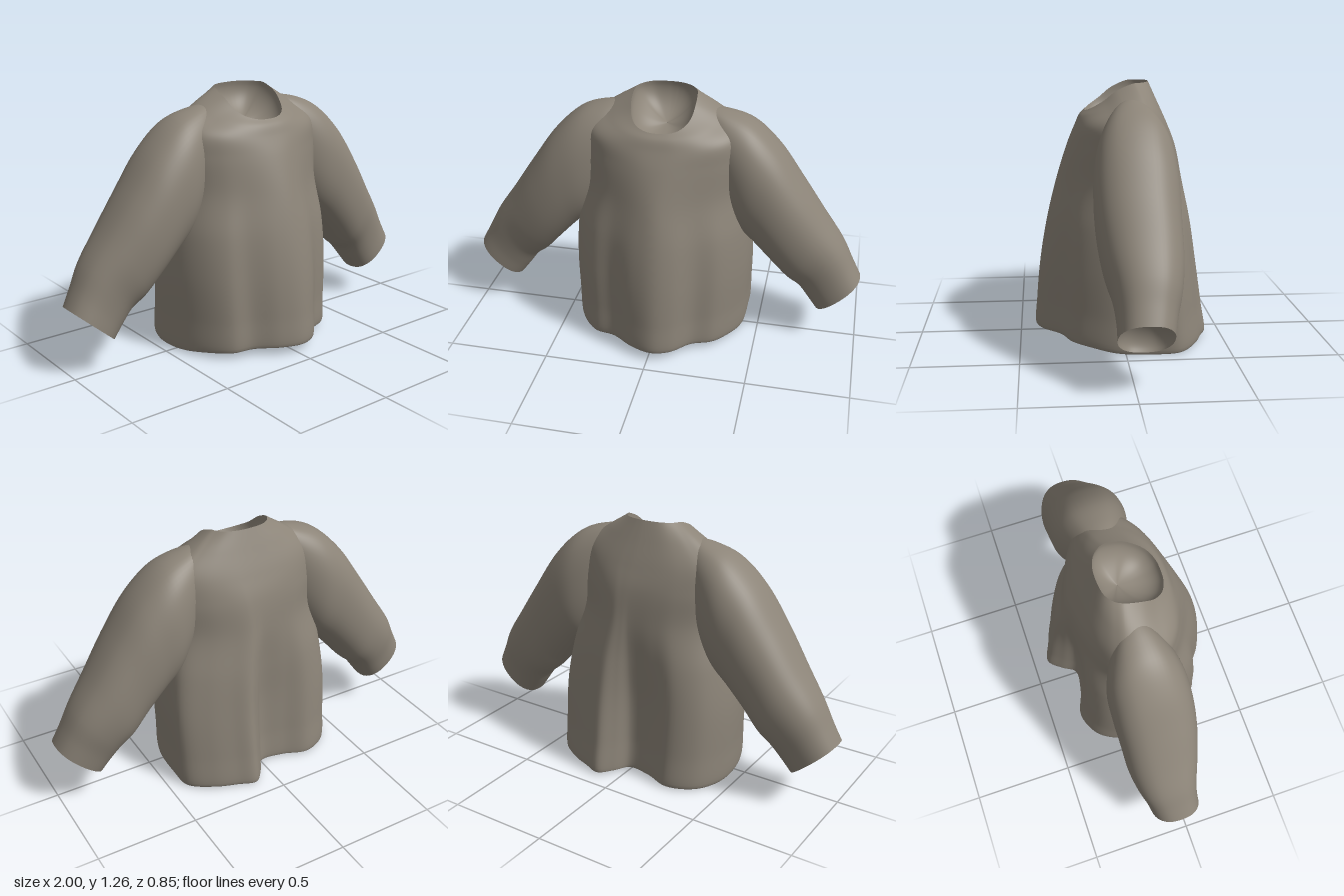
import * as THREE from 'three';

const V = (x, y, z) => new THREE.Vector3(x, y, z);
const spow = (v, e) => Math.sign(v) * Math.pow(Math.abs(v), e);
const lerp = THREE.MathUtils.lerp;

// Smooth surface through closed rings of points
function loft(rings, across, along) {
  const columns = rings[0].map((_, i) =>
    new THREE.CatmullRomCurve3(rings.map(r => r[i])));
  const pos = [], index = [];
  for (let j = 0; j <= along; j++) {
    const ring = new THREE.CatmullRomCurve3(columns.map(c => c.getPoint(j / along)), true);
    for (let i = 0; i < across; i++) pos.push(...ring.getPoint(i / across).toArray());
  }
  for (let j = 0; j < along; j++) {
    for (let i = 0; i < across; i++) {
      const a = j * across + i, b = j * across + (i + 1) % across;
      index.push(a, b, b + across, a, b + across, a + across);
    }
  }
  const geo = new THREE.BufferGeometry();
  geo.setAttribute('position', new THREE.Float32BufferAttribute(pos, 3));
  geo.setIndex(index);
  geo.computeVertexNormals();
  return geo;
}

// Hollow bowl that closes an opening; depth points into the garment
function bowl(rim, depth, across) {
  const centre = rim.reduce((s, p) => s.add(p), V(0, 0, 0)).divideScalar(rim.length);
  const rings = [];
  for (let j = 0; j <= 8; j++) {
    const t = j / 8 * 1.56;
    rings.push(rim.map(p => centre.clone().lerp(p, Math.cos(t))
      .addScaledVector(depth, Math.sin(t))));
  }
  return loft(rings, across, 20);
}

// Draped outline of the hem [x, z], from the front centre round by +x
const HEM = [
  [0.02, 0.42], [0.11, 0.39], [0.2, 0.3], [0.3, 0.25], [0.37, 0.16], [0.42, 0.04],
  [0.43, -0.14], [0.42, -0.26], [0.31, -0.345], [0.2, -0.39], [0.11, -0.42], [0.05, -0.36],
  [0, -0.29], [-0.12, -0.3], [-0.25, -0.34], [-0.38, -0.28], [-0.445, -0.14],
  [-0.44, 0.04], [-0.38, 0.19], [-0.3, 0.28], [-0.2, 0.31], [-0.09, 0.385],
];

// Body rings: half width, front z, back z, y at front / side / back,
// share of hem folds, roundness exponent, centre z
const BODY = [
  [0.41, 0.4, 0.4, 0.055, 0.012, 0.03, 1, 0.9, 0],
  [0.425, 0.42, 0.42, 0.05, 0.003, 0.02, 1, 0.9, 0],
  [0.435, 0.415, 0.4, 0.2, 0.18, 0.18, 0.97, 0.9, 0],
  [0.44, 0.395, 0.37, 0.4, 0.4, 0.4, 0.85, 0.95, 0],
  [0.43, 0.36, 0.345, 0.6, 0.6, 0.6, 0.6, 1.1, 0],
  [0.41, 0.31, 0.31, 0.8, 0.8, 0.8, 0.25, 1.25, -0.02],
  [0.41, 0.255, 0.275, 0.97, 0.98, 0.96, 0.1, 1.1, -0.03],
  [0.38, 0.218, 0.23, 1.055, 1.125, 1.07, 0.03, 0.95, -0.03],
  [0.27, 0.195, 0.18, 1.105, 1.2, 1.18, 0, 0.88, -0.03],
  [0.155, 0.17, 0.14, 1.13, 1.262, 1.27, 0, 0.8, 0],
];

function bodyRing([w, f, b, yf, ys, yb, fold, e, cz]) {
  return HEM.map(([x, z]) => {
    const a = Math.atan2(x / 0.43, z / 0.42);
    const s = Math.sin(a), c = Math.cos(a);
    const px = lerp(w * spow(s, e), x * w / 0.43, fold);
    const pz = lerp(cz + (c > 0 ? f - cz : b + cz) * spow(c, e),
      z * (z > 0 ? f : b) / 0.42, fold);
    return V(px, c > 0 ? lerp(ys, yf, c ** 0.6) : lerp(ys, yb, -c), pz);
  });
}

// Sleeve rings: upper x, y, lower x, y, front z, back z;
// the first few sink into the body to blend the shoulder
const SLEEVE = [
  [0.18, 1.205, 0.24, 0.8, 0.03, -0.11],
  [0.3, 1.188, 0.31, 0.69, 0.105, -0.185],
  [0.42, 1.145, 0.38, 0.59, 0.145, -0.228],
  [0.55, 1.03, 0.46, 0.515, 0.157, -0.235],
  [0.68, 0.85, 0.55, 0.42, 0.15, -0.23],
  [0.8, 0.67, 0.63, 0.33, 0.125, -0.225],
  [0.9, 0.525, 0.69, 0.28, 0.095, -0.205],
  [0.955, 0.42, 0.74, 0.215, 0.082, -0.18],
  [0.998, 0.34, 0.787, 0.153, 0.08, -0.165],
];

function sleeveRing([tx, ty, bx, by, zf, zb], side) {
  const ring = [];
  for (let i = 0; i < 16; i++) {
    const a = i / 16 * Math.PI * 2 * side;
    const t = 0.5 + 0.5 * spow(Math.cos(a), 0.9);
    const z = (zf + zb) / 2 + (zf - zb) / 2 * spow(Math.sin(a), 0.82);
    ring.push(V(side * lerp(bx, tx, t), lerp(by, ty, t), z));
  }
  return ring;
}

export function createModel() {
  const model = new THREE.Group();
  model.name = 'sweater';
  const cloth = new THREE.MeshStandardMaterial({ color: 0x8c8478, side: THREE.DoubleSide });
  cloth.name = 'taupe cloth';

  const add = (name, geometry) => {
    const mesh = new THREE.Mesh(geometry, cloth);
    mesh.name = name;
    model.add(mesh);
  };

  // Body with hollows at neck and hem
  const body = BODY.map(bodyRing);
  add('body', loft(body, 132, 72));
  add('hemHollow', bowl(body[0], V(0, 0.22, 0), 132));
  add('neckHollow', bowl(body.at(-1), V(0, -0.12, -0.04), 132));

  // Sleeves with hollows at the cuffs
  for (const [name, side] of [['left', 1], ['right', -1]]) {
    const sleeve = SLEEVE.map(r => sleeveRing(r, side));
    add(name + 'Sleeve', loft(sleeve, 64, 48));
    add(name + 'CuffHollow', bowl(sleeve.at(-1), V(-0.07 * side, 0.08, 0), 64));
  }
  return model;
}
